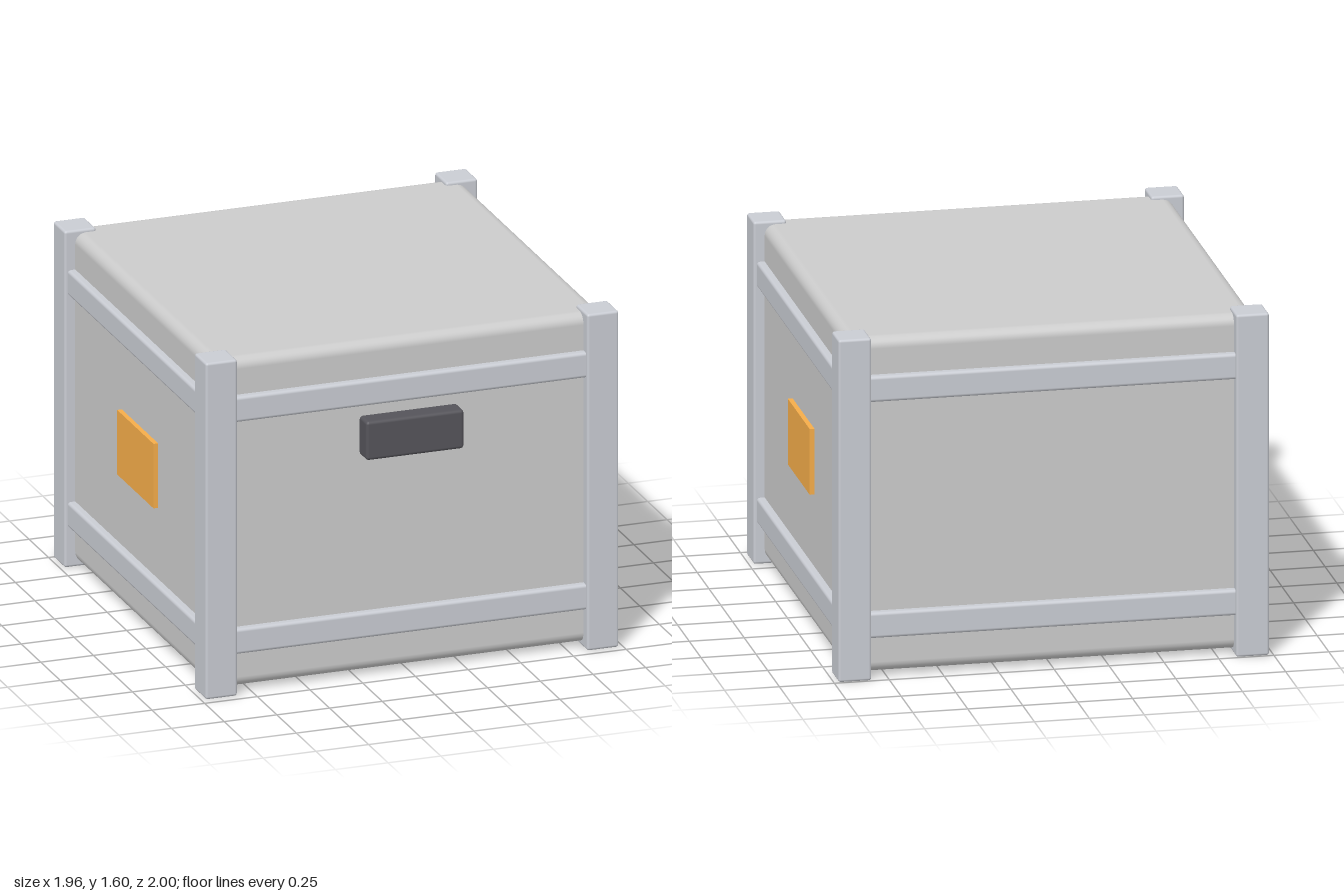
import * as THREE from 'three';
import { RoundedBoxGeometry } from 'three/addons/geometries/RoundedBoxGeometry.js';

export function createModel() {
  const crate = new THREE.Group();
  crate.name = 'crate';

  const panelGrey = new THREE.MeshStandardMaterial({ color: 0xcccccc });
  const frameGrey = new THREE.MeshStandardMaterial({ color: 0xc9ccd3 });
  const darkGrey = new THREE.MeshStandardMaterial({ color: 0x55545a });
  const orange = new THREE.MeshStandardMaterial({ color: 0xf5ad4a });

  const centreZ = -0.0175; // the handle sticks out in front, so the box sits slightly back

  function add(name, geometry, material, x, y, z) {
    const mesh = new THREE.Mesh(geometry, material);
    mesh.name = name;
    mesh.position.set(x, y, z + centreZ);
    crate.add(mesh);
    return mesh;
  }

  // Main box with softly rounded edges
  add('body', new RoundedBoxGeometry(1.86, 1.56, 1.86, 3, 0.05), panelGrey, 0, 0.8, 0);

  // Four corner posts
  const post = new RoundedBoxGeometry(0.15, 1.595, 0.15, 2, 0.012);
  for (const sx of [-1, 1]) {
    for (const sz of [-1, 1]) {
      add('cornerPost', post, frameGrey, sx * 0.905, 0.7975, sz * 0.905);
    }
  }

  // Upper and lower rails around all four sides
  const rail = new RoundedBoxGeometry(1.72, 0.12, 0.08, 2, 0.015);
  for (const y of [0.25, 1.35]) {
    for (const s of [-1, 1]) {
      add('rail', rail, frameGrey, 0, y, s * 0.925);
      add('sideRail', rail, frameGrey, s * 0.925, y, 0).rotation.y = Math.PI / 2;
    }
  }

  // Front handle
  add('handle', new RoundedBoxGeometry(0.464, 0.184, 0.12, 2, 0.015), darkGrey, 0, 1.142, 0.9575);

  // Plain plates on both sides
  const plate = new THREE.BoxGeometry(0.04, 0.306, 0.466);
  for (const s of [-1, 1]) add('sidePlate', plate, orange, s * 0.932, 0.8, 0);

  return crate;
}
